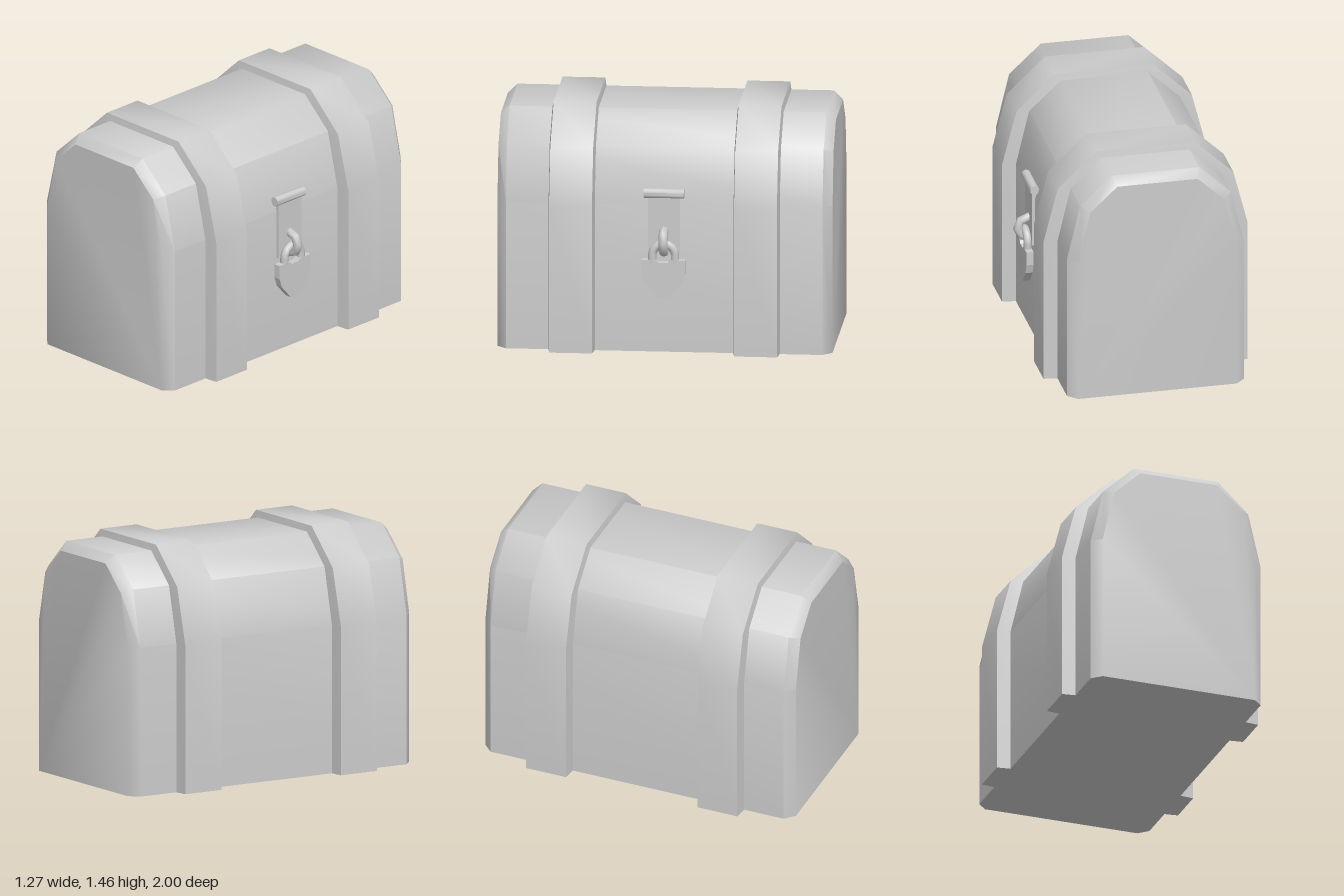
import * as THREE from 'three';
import { toCreasedNormals } from 'three/addons/utils/BufferGeometryUtils.js';

const material = new THREE.MeshStandardMaterial({ color: 0xcccccc });

// Mirrors one half of an arched outline into a closed loop
const outline = half => [...half, ...half.map(([x, y]) => [-x, y]).reverse()];

const bodyOutline = outline([[0.54, 0], [0.54, 0.9], [0.46, 1.24], [0.267, 1.42]]);
const endOutline = outline([[0.483, 0], [0.483, 0.9], [0.412, 1.215], [0.245, 1.37]]);
const bandOutline = outline([[0.6225, 0], [0.6225, 0.9], [0.535, 1.24], [0.3025, 1.46]]);

// Skins a row of [z, outline] sections, ordered by rising z
function loft(sections, capped) {
  const positions = [], index = [], n = sections[0][1].length;
  for (const [z, points] of sections) for (const [x, y] of points) positions.push(x, y, z);
  for (let k = 0; k < sections.length - 1; k++) {
    for (let i = 0; i < n; i++) {
      const a = k * n + i, b = k * n + (i + 1) % n;
      index.push(a, b, b + n, a, b + n, a + n);
    }
  }
  if (capped) {
    const last = (sections.length - 1) * n;
    for (let i = 1; i < n - 1; i++) index.push(0, i + 1, i, last, last + i, last + i + 1);
  }
  const geometry = new THREE.BufferGeometry();
  geometry.setAttribute('position', new THREE.Float32BufferAttribute(positions, 3));
  geometry.setIndex(index);
  return toCreasedNormals(geometry.toNonIndexed(), 0.78);
}

export function createModel() {
  const model = new THREE.Group();
  model.name = 'chest';
  const add = (name, geometry, x = 0, y = 0, z = 0, parent = model) => {
    const mesh = new THREE.Mesh(geometry, material);
    mesh.name = name;
    mesh.position.set(x, y, z);
    parent.add(mesh);
    return mesh;
  };

  // Arched body with bevelled ends
  add('body', loft([[-1, endOutline], [-0.945, bodyOutline], [0.945, bodyOutline], [1, endOutline]], true), -0.0175);

  // Two raised bands with sloping flanks
  const band = loft([[-0.138, bodyOutline], [-0.128, bandOutline], [0.128, bandOutline], [0.138, bodyOutline]], false);
  for (const side of [-1, 1]) add(side > 0 ? 'frontBand' : 'backBand', band, -0.0175, 0, side * 0.552);

  // Hasp: hinge pin, strap and staple
  const hasp = new THREE.Group();
  hasp.name = 'hasp';
  model.add(hasp);
  add('hingePin', toCreasedNormals(new THREE.CylinderGeometry(0.029, 0.029, 0.24, 10), 0.8), 0.53, 0.972, 0, hasp)
    .rotation.x = Math.PI / 2;
  add('strap', new THREE.BoxGeometry(0.03, 0.36, 0.19), 0.525, 0.78, 0, hasp);
  add('staple', new THREE.TorusGeometry(0.065, 0.028, 8, 8), 0.542, 0.68, 0, hasp);

  // Padlock: shield-shaped case and arched shackle
  const padlock = new THREE.Group();
  padlock.name = 'padlock';
  padlock.position.x = 0.562;
  model.add(padlock);
  const shield = outline([[0.035, 0.345], [0.11, 0.43], [0.13, 0.49], [0.13, 0.575], [0.045, 0.575], [0.03, 0.56]]);
  const shape = new THREE.Shape(shield.map(([x, y]) => new THREE.Vector2(x, y)));
  add('lockCase', new THREE.ExtrudeGeometry(shape, { depth: 0.044, bevelEnabled: false }), -0.022, 0, 0, padlock)
    .rotation.y = Math.PI / 2;
  add('shackle', new THREE.TorusGeometry(0.068, 0.025, 8, 8, Math.PI), 0, 0.602, 0, padlock)
    .rotation.y = Math.PI / 2;
  for (const side of [-1, 1]) {
    add('shackleLeg', new THREE.CylinderGeometry(0.025, 0.025, 0.05, 8), 0, 0.578, side * 0.068, padlock);
  }
  return model;
}
